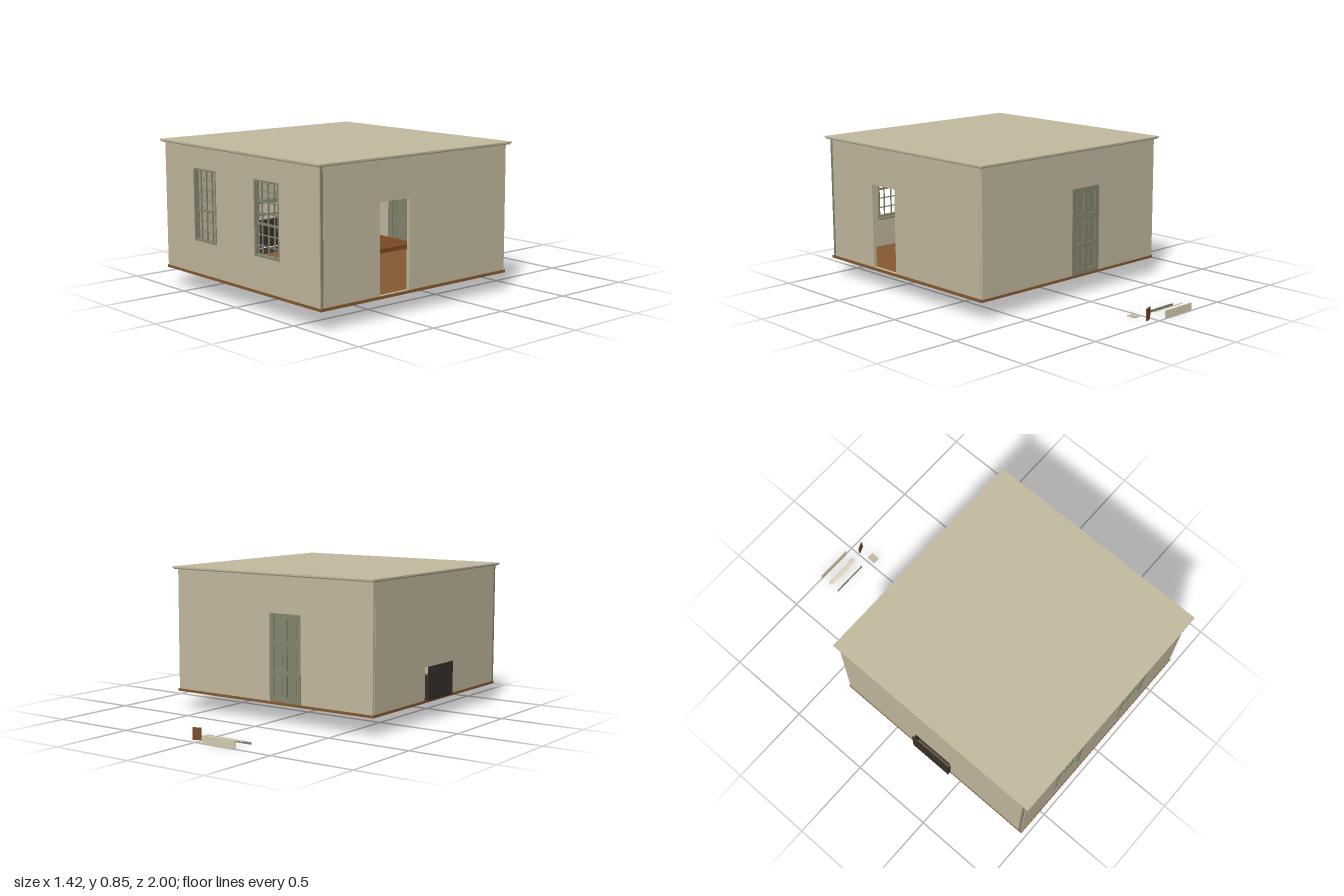
import * as THREE from 'three';

const mat = (name, color, extra = {}) => {
  const m = new THREE.MeshStandardMaterial({ color, ...extra });
  m.name = name;
  return m;
};

export function createModel() {
  const root = new THREE.Group();
  root.name = 'panelledRoom';
  const plaster = mat('plaster', 0xc4baa0);
  const paint = mat('greenGreyPaint', 0x85866f);
  const wood = mat('floorWood', 0x865a30);
  const tableWood = mat('tableWood', 0x7a4a25);
  const soot = mat('soot', 0x38312d, { side: THREE.DoubleSide });
  const brass = mat('darkMetal', 0x4a3520);
  const cream = mat('cream', 0xd8d0b4);

  const group = (name, parent = root) => {
    const g = new THREE.Group();
    g.name = name;
    parent.add(g);
    return g;
  };
  // Box given by its limits on each axis
  const box = (name, m, [x0, x1], [y0, y1], [z0, z1], parent = root) => {
    const mesh = new THREE.Mesh(new THREE.BoxGeometry(x1 - x0, y1 - y0, z1 - z0), m);
    mesh.position.set((x0 + x1) / 2, (y0 + y1) / 2, (z0 + z1) / 2);
    mesh.name = name;
    parent.add(mesh);
    return mesh;
  };
  const rect = (P, x0, x1, y0, y1) => new P()
    .moveTo(x0, y0).lineTo(x1, y0).lineTo(x1, y1).lineTo(x0, y1).closePath();
  // Wall with rectangular openings [x0, x1, y0, y1]
  const wall = (name, x0, x1, holes, depth = 0.02) => {
    const s = rect(THREE.Shape, x0, x1, 0.113, 0.832);
    holes.forEach(h => s.holes.push(rect(THREE.Path, ...h)));
    const mesh = new THREE.Mesh(
      new THREE.ExtrudeGeometry(s, { depth, bevelEnabled: false }), plaster);
    mesh.name = name;
    root.add(mesh);
    return mesh;
  };

  // Floor, ceiling and walls
  box('floor', wood, [-0.69, 0.695], [0.105, 0.12], [-0.36, 0.98]);
  box('roofSlab', plaster, [-0.703, 0.71], [0.836, 0.845], [-0.38, 1]);
  box('cornice', paint, [-0.698, 0.703], [0.83, 0.836], [-0.374, 0.994]);
  const windows = [[-0.405, -0.195], [0.15, 0.36]];
  const wy = [0.305, 0.71];
  wall('frontWall', -0.685, 0.685, windows.map(w => [...w, ...wy])).position.z = 0.957;
  wall('backWall', -0.685, 0.685, [[-0.21, 0.005, 0.12, 0.62]]).position.z = -0.357;
  const sideWall = (name, x, hole) => {
    const m = wall(name, -0.955, 0.34, [hole]);
    m.rotation.y = Math.PI / 2;
    m.position.x = x;
  };
  sideWall('leftWall', 0.667, [-0.58, -0.375, 0.12, 0.61]);
  sideWall('rightWall', -0.687, [-0.44, -0.17, 0.12, 0.31]);
  for (const x of [-0.6885, 0.6845])
    box('cornerStrip', paint, [x, x + 0.004], [0.12, 0.83], [0.957, 0.972]);

  // Sash windows, four panes by seven
  for (const [a, b] of windows) {
    const g = group('sashWindow');
    const [y0, y1] = wy;
    for (const x of [a, b - 0.009])
      box('jamb', paint, [x, x + 0.009], wy, [0.95, 0.979], g);
    for (const y of [y0, y1 - 0.009])
      box('rail', paint, [a, b], [y, y + 0.009], [0.95, 0.979], g);
    for (let i = 1; i < 4; i++) {
      const x = a + (b - a) * i / 4;
      box('upright', paint, [x - 0.0025, x + 0.0025], wy, [0.96, 0.968], g);
    }
    for (let j = 1; j < 7; j++) {
      const y = y0 + (y1 - y0) * j / 7, t = j === 3 ? 0.006 : 0.0025;
      box('crossBar', paint, [a, b], [y - t, y + t], [0.96, 0.968], g);
    }
    box('sill', paint, [a - 0.01, b + 0.01], [y0 - 0.01, y0], [0.92, 0.957], g);
  }

  // Panelled back door with inner casing
  const door = group('backDoor');
  box('doorPanel', paint, [-0.21, 0.005], [0.12, 0.62], [-0.35, -0.34], door);
  for (const x of [-0.21, -0.115, -0.022])
    box('stile', paint, [x, x + 0.027], [0.12, 0.62], [-0.36, -0.335], door);
  for (const y of [0.12, 0.275, 0.44, 0.593])
    box('doorRail', paint, [-0.21, 0.005], [y, y + 0.027], [-0.3595, -0.336], door);
  for (const x of [-0.158, -0.065]) for (const y of [0.165, 0.325, 0.485])
    box('raisedField', paint, [x - 0.018, x + 0.026], [y, y + 0.092], [-0.355, -0.338], door);
  for (const x of [-0.245, 0.005])
    box('casing', paint, [x, x + 0.035], [0.12, 0.62], [-0.337, -0.325], door);
  box('casingHead', paint, [-0.245, 0.04], [0.62, 0.64], [-0.337, -0.322], door);

  // Firebox reaching through the wall, with hearth and mantel
  const fire = group('fireplace');
  box('fireback', soot, [-0.71, -0.706], [0.12, 0.315], [0.17, 0.44], fire);
  for (const z of [0.17, 0.436])
    box('fireboxCheek', soot, [-0.708, -0.64], [0.12, 0.265], [z, z + 0.004], fire);
  for (const z of [0.06, 0.44]) {
    box('pilaster', cream, [-0.667, -0.63], [0.12, 0.41], [z, z + 0.11], fire);
    box('pilasterPanel', cream, [-0.63, -0.624], [0.16, 0.33], [z + 0.02, z + 0.09], fire);
  }
  box('frieze', cream, [-0.667, -0.63], [0.31, 0.41], [0.17, 0.44], fire);
  box('friezeMoulding', paint, [-0.63, -0.622], [0.335, 0.345], [0.06, 0.55], fire);
  box('mantelShelf', paint, [-0.667, -0.59], [0.415, 0.435], [0.03, 0.58], fire);
  box('hearth', soot, [-0.667, -0.55], [0.12, 0.124], [0.1, 0.51], fire);

  // Turned candlestick, scaled to height
  const candlestick = (x, y, z, h) => {
    const pts = [[0, 0], [0.2, 0], [0.2, 0.05], [0.06, 0.12], [0.05, 0.4],
      [0.11, 0.45], [0.05, 0.52], [0.05, 1], [0, 1]].map(p => new THREE.Vector2(p[0] * h, p[1] * h));
    const m = new THREE.Mesh(new THREE.LatheGeometry(pts, 12), brass);
    m.name = 'candlestick';
    m.position.set(x, y, z);
    root.add(m);
  };
  candlestick(-0.63, 0.435, 0.535, 0.095);
  candlestick(0.275, 0.3, 0.3, 0.105);
  candlestick(0.2, 0.3, 0.42, 0.05);

  // Table
  const table = group('table');
  box('tableTop', tableWood, [0.1, 0.45], [0.288, 0.3], [0.1, 0.578], table);
  box('tableApron', tableWood, [0.12, 0.43], [0.27, 0.288], [0.12, 0.565], table);
  for (const x of [0.12, 0.418]) for (const z of [0.12, 0.555])
    box('tableLeg', tableWood, [x, x + 0.012], [0.12, 0.28], [z, z + 0.012], table);

  // Loose pieces lying behind the room
  const loose = group('loosePieces');
  box('looseBoard', cream, [-0.27, -0.05], [0, 0.045], [-1, -0.995], loose);
  const strip = box('tiltedStrip', cream, [-0.27, -0.05], [0.022, 0.027], [-0.941, -0.915], loose);
  strip.rotation.x = 0.4;
  box('looseMoulding', paint, [-0.27, -0.05], [0, 0.012], [-0.869, -0.863], loose);
  const panel = box('loosePanel', tableWood, [0.007, 0.056], [0, 0.067], [-0.951, -0.944], loose);
  panel.rotation.y = 0.38;
  box('looseTile', plaster, [0.02, 0.062], [0, 0.004], [-0.878, -0.824], loose);
  return root;
}
